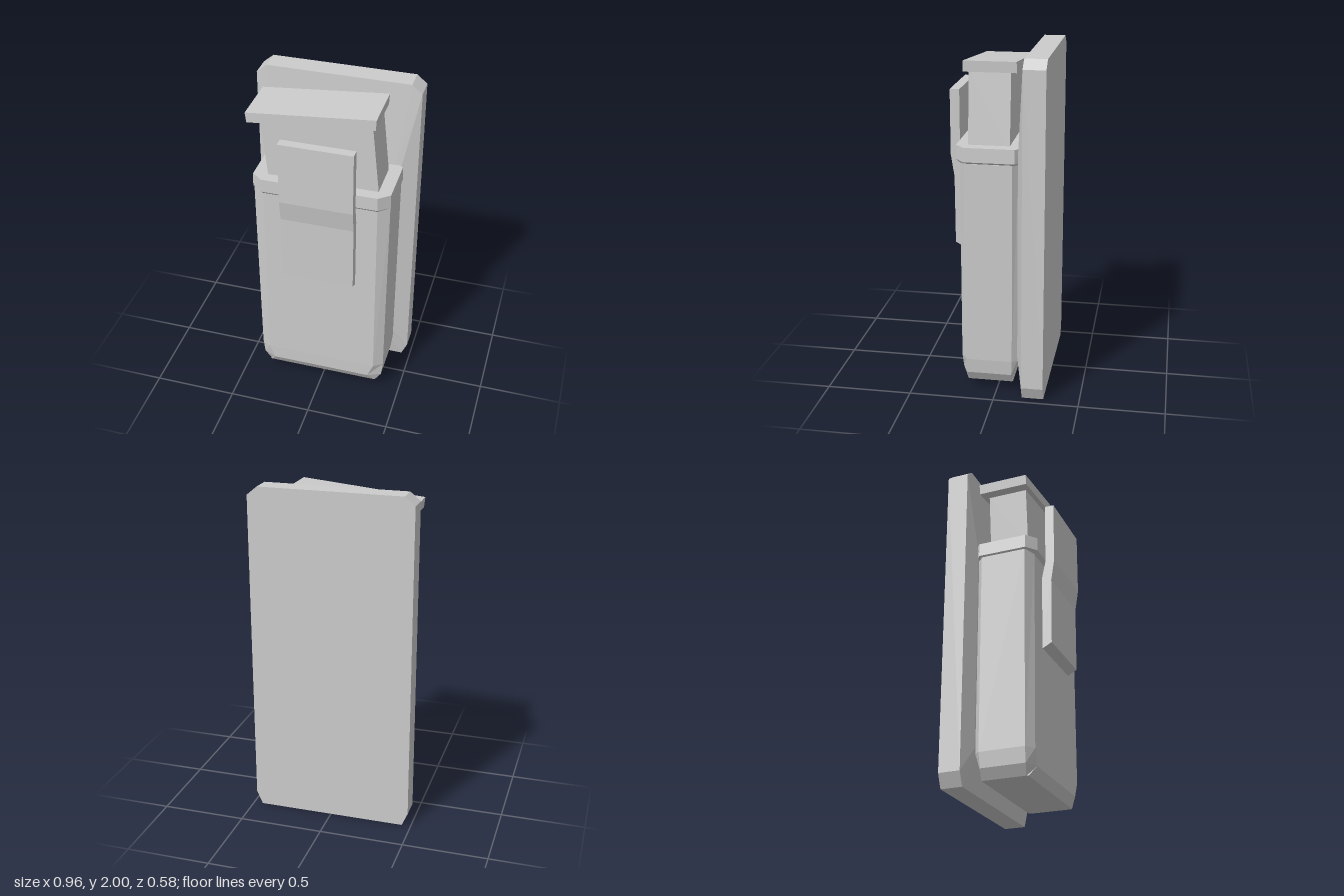
import * as THREE from 'three';

const material = new THREE.MeshStandardMaterial({ color: 0xcccccc, flatShading: true });

// Skin a stack of matching convex rings and close both ends
function loft(name, rings) {
  const pos = [];
  const tri = (a, b, c) => pos.push(...a, ...b, ...c);
  const n = rings[0].length;
  for (let r = 0; r < rings.length - 1; r++) {
    for (let i = 0; i < n; i++) {
      const j = (i + 1) % n, a = rings[r], b = rings[r + 1];
      tri(a[i], a[j], b[j]);
      tri(a[i], b[j], b[i]);
    }
  }
  const first = rings[0], last = rings[rings.length - 1];
  for (let i = 1; i < n - 1; i++) {
    tri(first[0], first[i + 1], first[i]);
    tri(last[0], last[i], last[i + 1]);
  }
  const geometry = new THREE.BufferGeometry();
  geometry.setAttribute('position', new THREE.Float32BufferAttribute(pos, 3));
  geometry.computeVertexNormals();
  const mesh = new THREE.Mesh(geometry, material);
  mesh.name = name;
  return mesh;
}

// Horizontal octagon: half width w, front/back faces and their half widths,
// and the depths at which the side faces start and end
const level = (y, w, front, frontW, sideFront, sideBack, back, backW) => [
  [-frontW, y, front], [frontW, y, front], [w, y, sideFront], [w, y, sideBack],
  [backW, y, back], [-backW, y, back], [-w, y, sideBack], [-w, y, sideFront],
];

// Upright octagon with separately clipped top and bottom corners
const panel = (z, w, y0, y1, cutX0, cutY0, cutX1, cutY1) => [
  [-w + cutX0, y0, z], [w - cutX0, y0, z], [w, y0 + cutY0, z], [w, y1 - cutY1, z],
  [w - cutX1, y1, z], [-w + cutX1, y1, z], [-w, y1 - cutY1, z], [-w, y0 + cutY0, z],
];

// Side-to-side extrusion of an x/y outline between two depths
function slab(name, outline, z0, z1) {
  return loft(name, [z0, z1].map((z) => outline.map(([x, y]) => [x, y, z])));
}

export function createModel() {
  const model = new THREE.Group();

  // Back plate with a shallow raised face that meets the case
  model.add(loft('backPlate', [
    panel(-0.29, 0.48, 0, 2, 0.035, 0.08, 0.06, 0.05),
    panel(-0.163, 0.48, 0, 2, 0.035, 0.08, 0.06, 0.05),
    panel(-0.125, 0.38, 0.19, 1.48, 0.03, 0.04, 0.03, 0.04),
  ]));

  // Case with bevelled front edges and foot
  model.add(loft('case', [
    level(0.05, 0.35, 0.175, 0.345, 0.165, -0.085, -0.095, 0.345),
    level(0.11, 0.385, 0.21, 0.305, 0.175, -0.09, -0.1, 0.36),
    level(0.2, 0.395, 0.212, 0.34, 0.175, -0.095, -0.125, 0.37),
    level(1.4, 0.4, 0.212, 0.335, 0.175, -0.095, -0.125, 0.37),
  ]));

  // Collar around the mouth of the case
  model.add(loft('collar', [
    level(1.39, 0.385, 0.212, 0.335, 0.17, -0.1, -0.125, 0.36),
    level(1.41, 0.405, 0.232, 0.34, 0.18, -0.11, -0.138, 0.37),
    level(1.492, 0.402, 0.232, 0.338, 0.18, -0.11, -0.138, 0.37),
  ]));

  // Flared neck and its tilted cap
  model.add(slab('neck', [[-0.315, 1.47], [0.33, 1.47], [0.284, 1.91], [-0.352, 1.85]], -0.072, 0.165));
  model.add(slab('cap', [[-0.42, 1.83], [0.307, 1.898], [0.31, 1.96], [-0.427, 1.89]], -0.106, 0.194));

  // Cranked front clip, extruded across from a depth/height profile
  const profile = new THREE.Shape([
    [0.29, 1.78], [0.235, 1.78], [0.235, 1.4], [0.205, 1.26], [0.205, 0.835],
    [0.268, 0.868], [0.27, 1.27], [0.29, 1.4],
  ].map(([z, y]) => new THREE.Vector2(-z, y)));
  const clipGeometry = new THREE.ExtrudeGeometry(profile, { depth: 0.43, bevelEnabled: false });
  clipGeometry.rotateY(Math.PI / 2);
  clipGeometry.translate(-0.215, 0, 0);
  const clip = new THREE.Mesh(clipGeometry, material);
  clip.name = 'clip';
  model.add(clip);

  return model;
}
